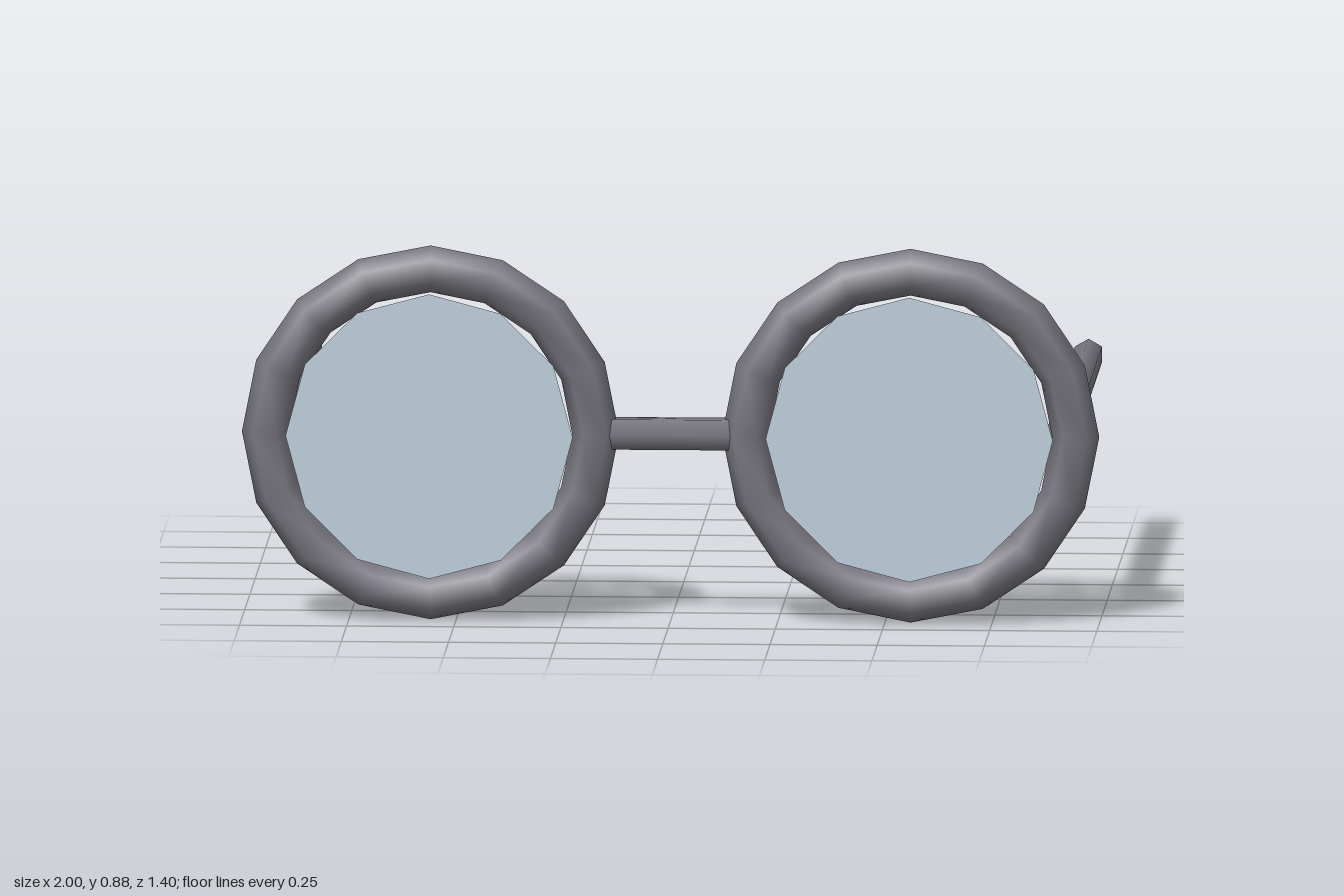
import * as THREE from 'three';

export function createModel() {
  const model = new THREE.Group();
  model.name = 'spectacles';

  const frameMaterial = new THREE.MeshStandardMaterial({ color: 0x77767f });
  const lensMaterial = new THREE.MeshStandardMaterial({ color: 0xbfd0dd, side: THREE.DoubleSide });
  const midY = 0.44;
  const rimZ = 0.63;

  function add(name, geometry, material, x, y, z) {
    const mesh = new THREE.Mesh(geometry, material);
    mesh.name = name;
    mesh.position.set(x, y, z);
    model.add(mesh);
    return mesh;
  }

  const rim = new THREE.TorusGeometry(0.385, 0.055, 6, 16);
  const lens = new THREE.CircleGeometry(0.335, 12);
  const temple = new THREE.CylinderGeometry(0.0365, 0.0365, 1.26, 6).rotateX(Math.PI / 2);

  // Rim, lens and temple arm on each side
  for (const [side, sign] of [['left', 1], ['right', -1]]) {
    add(side + 'Rim', rim, frameMaterial, sign * 0.56, midY, rimZ);
    add(side + 'Lens', lens, lensMaterial, sign * 0.56, midY, 0.7);
    add(side + 'Temple', temple, frameMaterial, sign * 0.91, midY, -0.07);
  }

  // Bridge between the rims
  const bridge = new THREE.CylinderGeometry(0.041, 0.041, 0.32, 6).rotateZ(Math.PI / 2);
  add('bridge', bridge, frameMaterial, 0, midY, rimZ - 0.005);

  return model;
}
